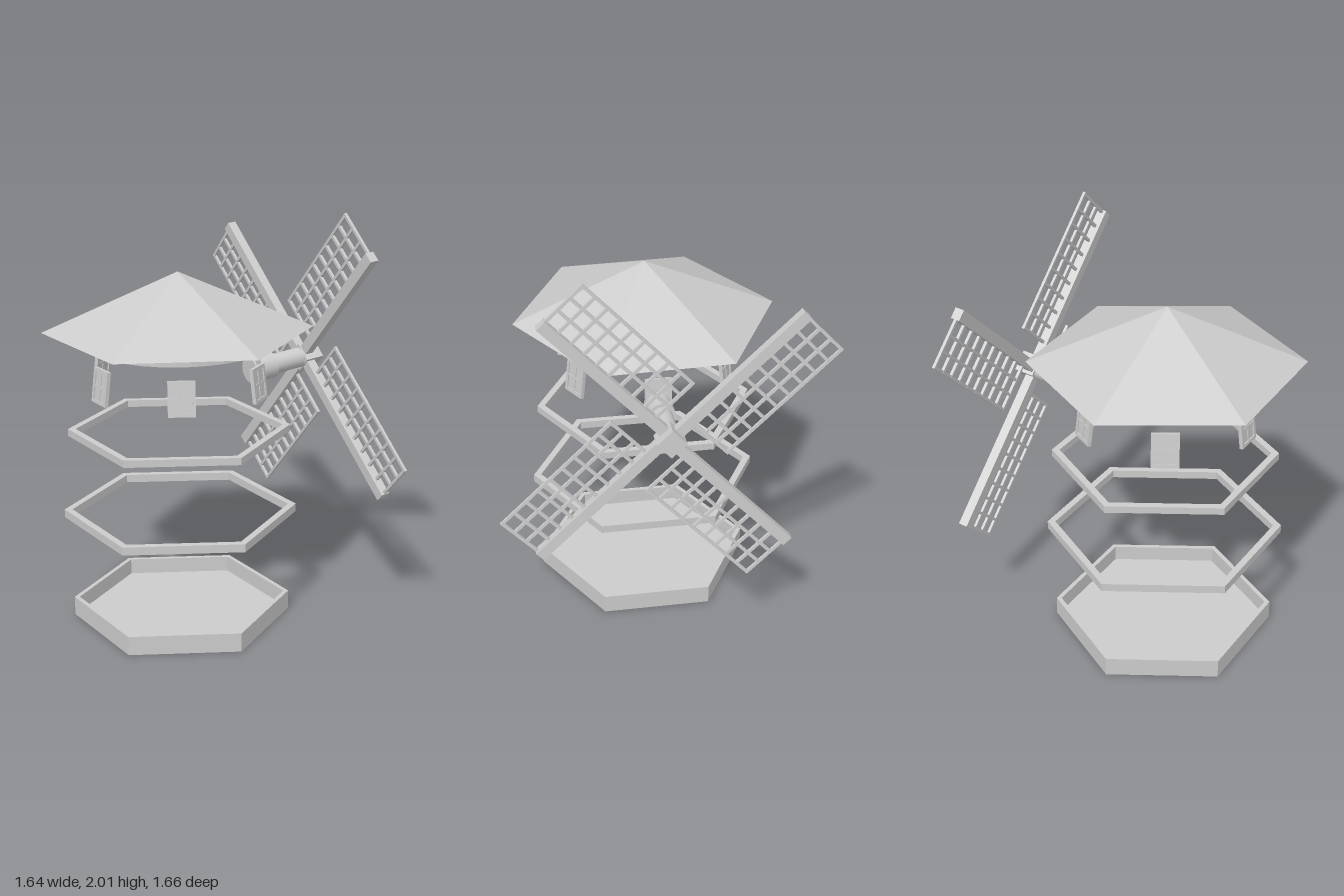
import * as THREE from 'three';

const mat = new THREE.MeshStandardMaterial({ color: 0xcccccc, flatShading: true, side: THREE.DoubleSide });
const smooth = new THREE.MeshStandardMaterial({ color: 0xcccccc });

function add(parent, name, geometry, x = 0, y = 0, z = 0, material = mat) {
  const mesh = new THREE.Mesh(geometry, material);
  mesh.name = name;
  mesh.position.set(x, y, z);
  parent.add(mesh);
  return mesh;
}

function group(parent, name) {
  const g = new THREE.Group();
  g.name = name;
  parent.add(g);
  return g;
}

const box = (w, h, d) => new THREE.BoxGeometry(w, h, d);

// Band with a rectangular section; six sides make a hexagonal frame
function band(outer, inner, y0, y1, sides = 6) {
  const p = [[inner, y0], [outer, y0], [outer, y1], [inner, y1], [inner, y0]];
  return new THREE.LatheGeometry(p.map(([x, y]) => new THREE.Vector2(x, y)), sides);
}

// Window with a rim, a cross of glazing bars and a thin pane
function addWindow(parent, angle) {
  const pivot = group(parent, 'window');
  pivot.rotation.y = angle;
  const win = group(pivot, 'windowFrame');
  win.position.set(0, 1.253, 0.422);
  win.rotation.x = -0.12;
  const w = 0.127, h = 0.166, b = 0.016, d = 0.018;
  for (const s of [-1, 1]) {
    add(win, 'windowStile', box(b, h, d), s * (w - b) / 2, 0, 0);
    add(win, 'windowRail', box(w - 2 * b, b, d), 0, s * (h - b) / 2, 0);
  }
  add(win, 'glazingBarUpright', box(0.012, h - 2 * b, 0.014));
  add(win, 'glazingBarCross', box(w - 2 * b, 0.012, 0.014));
  add(win, 'windowPane', box(w - 2 * b, h - 2 * b, 0.005));
}

// Sail pointing along +y with the lattice on its +x side
function addSail(parent, angle) {
  const sail = group(parent, 'sail');
  sail.rotation.z = angle;
  add(sail, 'sailSpar', box(0.052, 0.81, 0.045), 0.008, 0.435, 0);
  const y0 = 0.125, y1 = 0.83, x0 = 0.03, x1 = 0.26, t = 0.014;
  const rows = 9, columns = 3;
  for (let i = 0; i <= rows; i++) {
    const y = y0 + (y1 - y0) * i / rows;
    add(sail, 'latticeCrossBar', box(x1 - x0 + t, t, t), (x0 + x1) / 2, y, 0);
  }
  for (let i = 1; i <= columns; i++) {
    const x = x0 + (x1 - x0) * i / columns;
    add(sail, 'latticeLongBar', box(t, y1 - y0 + t, t * 0.9), x, (y0 + y1) / 2, 0);
  }
}

export function createModel() {
  const model = new THREE.Group();
  model.name = 'windmill';

  // Tower parts share one vertical axis
  const tower = group(model, 'tower');
  tower.position.set(-0.25, 0, 0.185);
  add(tower, 'baseWall', band(0.535, 0.51, 0, 0.095));
  add(tower, 'baseFloor', new THREE.CylinderGeometry(0.52, 0.52, 0.015, 6), 0, 0.0085, 0);
  add(tower, 'lowerBand', band(0.568, 0.53, 0.525, 0.565));
  add(tower, 'upperBand', band(0.537, 0.50, 0.945, 0.98));
  add(tower, 'capRing', band(0.468, 0.435, 1.415, 1.47, 40));

  // Six-sided open roof
  const roof = add(tower, 'roof', new THREE.ConeGeometry(0.645, 0.28, 6, 1, true), 0, 1.605, 0);
  roof.rotation.y = 0.031;

  for (let i = 0; i < 6; i++) addWindow(tower, Math.PI / 6 + i * Math.PI / 3);

  // Rotor faces outward along local +z, tilted slightly up
  const rotor = group(model, 'rotor');
  rotor.position.set(0.12, 1.217, -0.453);
  rotor.rotation.set(-0.063, Math.PI * 5 / 6, 0, 'YXZ');

  const shaft = (r, length) => new THREE.CylinderGeometry(r, r, length, 24).rotateX(Math.PI / 2);
  add(rotor, 'axleHousing', shaft(0.066, 0.13), 0, 0, -0.265, smooth);
  add(rotor, 'axle', shaft(0.05, 0.24), 0, 0, -0.12, smooth);

  const hub = add(rotor, 'hub', box(0.1, 0.1, 0.1), 0, 0, 0.02);
  hub.rotation.z = 0.757;

  for (let i = 0; i < 4; i++) addSail(rotor, 0.757 + i * Math.PI / 2);

  return model;
}
